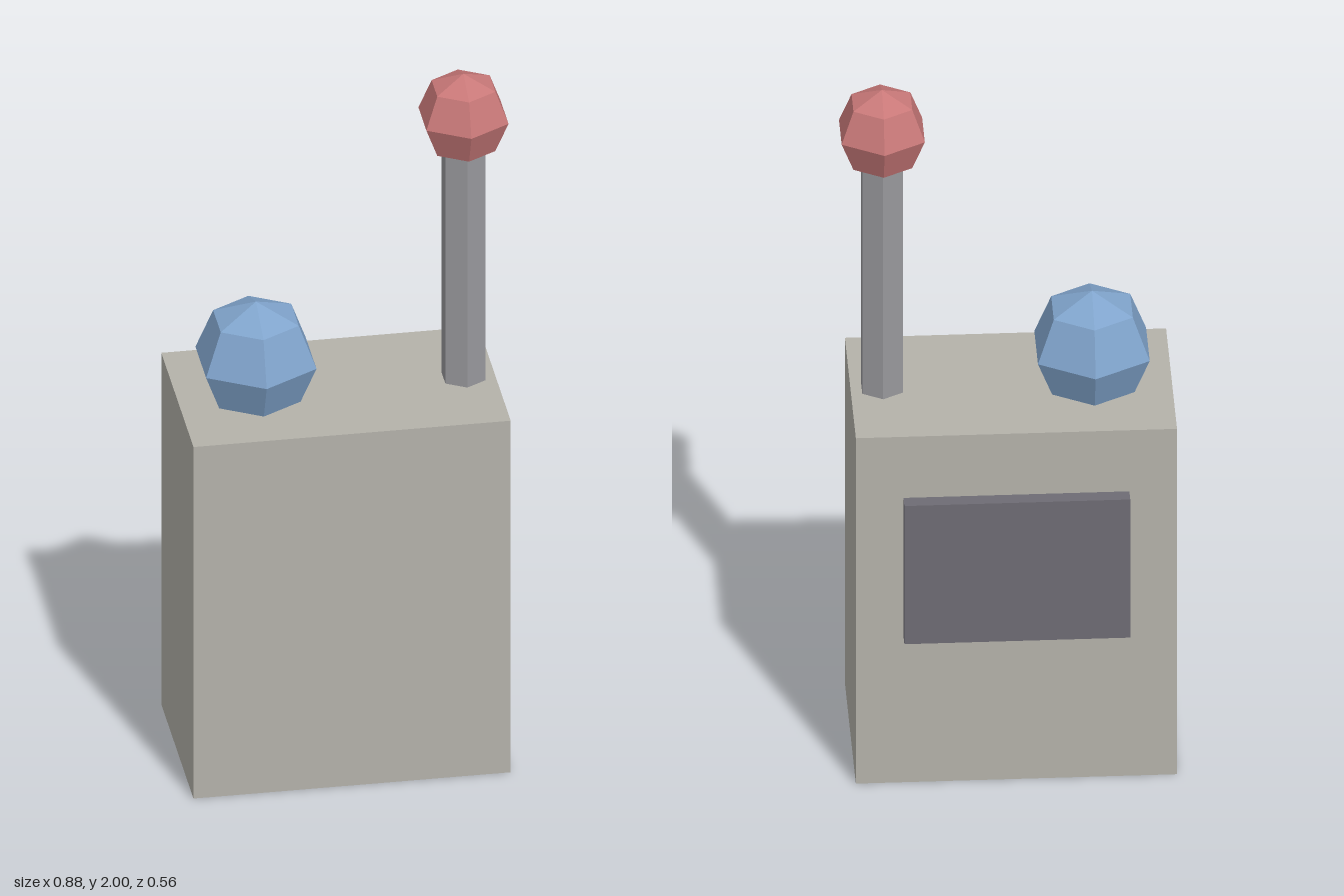
import * as THREE from 'three';

export function createModel() {
  const group = new THREE.Group();

  const add = (name, geometry, color, x, y, z) => {
    const material = new THREE.MeshStandardMaterial({ color, flatShading: true });
    const mesh = new THREE.Mesh(geometry, material);
    mesh.name = name;
    mesh.position.set(x, y, z);
    group.add(mesh);
    return mesh;
  };

  // Six-sided ball, turned so a corner points along z
  const ball = (radius) => new THREE.SphereGeometry(radius, 6, 4).rotateY(Math.PI / 6);

  // Upright housing
  add('body', new THREE.BoxGeometry(0.856, 1.075, 0.516), 0xb4b2aa, -0.014, 0.5375, 0.02);

  // Raised plate on the back
  add('backPanel', new THREE.BoxGeometry(0.602, 0.43, 0.05), 0x6e6c74, -0.014, 0.67, -0.255);

  // Lever with its knob
  add('leverRod', new THREE.CylinderGeometry(0.0625, 0.0625, 0.75, 6), 0x98989c, 0.33, 1.42, 0.02);
  add('leverKnob', ball(0.128), 0xc87878, 0.33, 1.872, 0.02);

  // Round button sunk into the top
  add('topButton', ball(0.172), 0x80a4cc, -0.23, 1.184, 0.02);

  return group;
}
